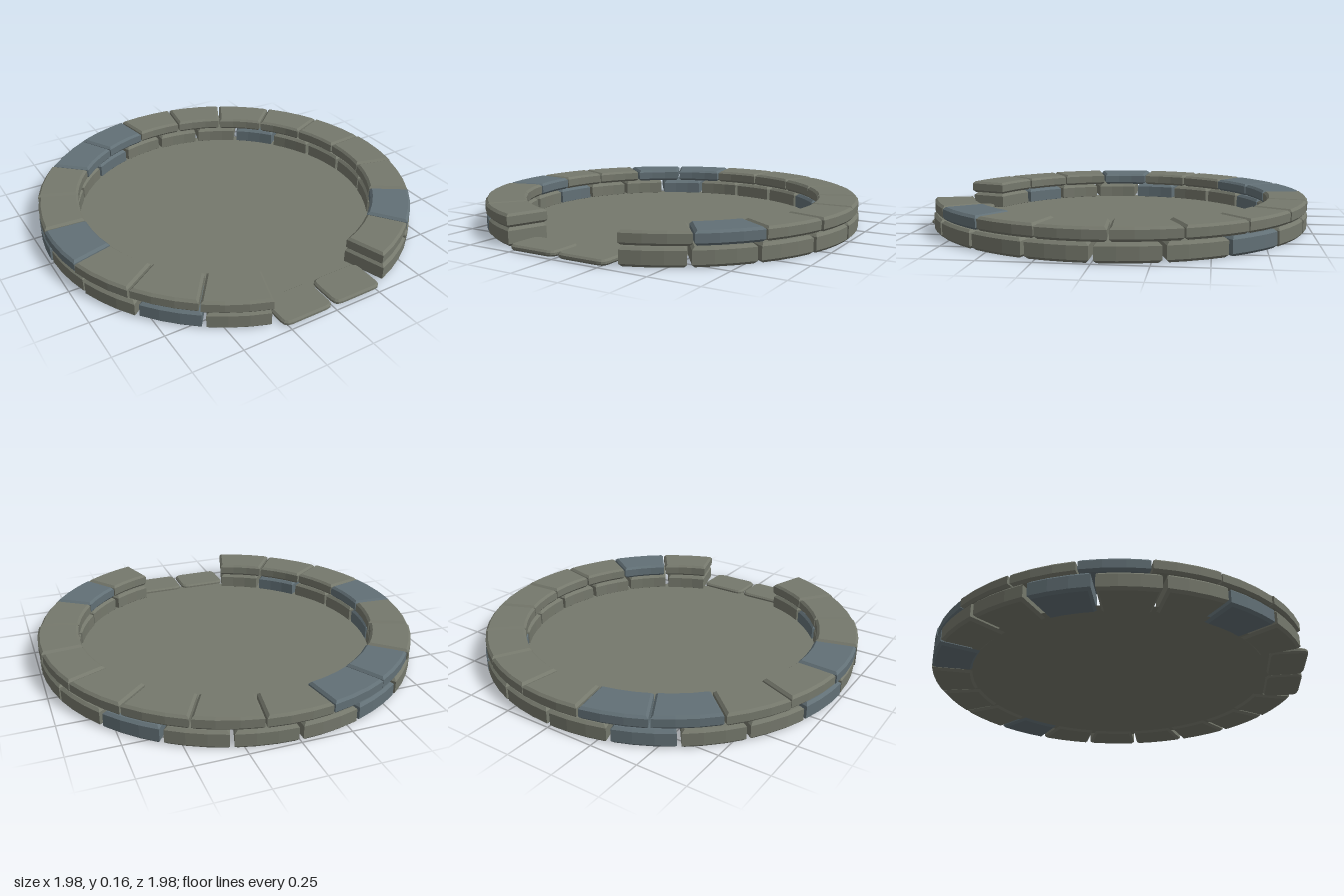
import * as THREE from 'three';

const DEG = Math.PI / 180;

function makeMaterial(name, color) {
  const m = new THREE.MeshStandardMaterial({ color });
  m.name = name;
  return m;
}

// small seeded generator for hand-cut irregularity, returns -1..1
function makeJitter(seed) {
  let s = seed;
  return () => {
    s = (s * 16807) % 2147483647;
    return (s / 2147483647) * 2 - 1;
  };
}

// bevelled block from a plan outline, standing between heights y0 and y1
function slabGeometry(shape, y0, y1, bevel) {
  const geo = new THREE.ExtrudeGeometry(shape, {
    depth: y1 - y0 - 2 * bevel,
    bevelEnabled: true,
    bevelThickness: bevel,
    bevelSize: bevel,
    bevelOffset: -bevel,
    bevelSegments: 1,
    curveSegments: 3,
  });
  geo.rotateX(-Math.PI / 2);
  geo.translate(0, y0 + bevel, 0);
  return geo;
}

// plan outline of one curved stone; angles run from +z towards +x
function wedgeShape(a0, a1, inner, outer, gap) {
  const points = [];
  const arc = (r, reverse) => {
    const trim = gap / 2 / r;
    const steps = 3;
    for (let i = 0; i <= steps; i++) {
      const t = reverse ? 1 - i / steps : i / steps;
      const a = a0 + trim + (a1 - a0 - 2 * trim) * t;
      points.push(new THREE.Vector2(r * Math.sin(a), -r * Math.cos(a)));
    }
  };
  arc(outer, false);
  arc(inner, true);
  return new THREE.Shape(points);
}

function roundedRect(x0, x1, y0, y1, r) {
  const s = new THREE.Shape();
  s.moveTo(x0 + r, y0);
  s.lineTo(x1 - r, y0);
  s.quadraticCurveTo(x1, y0, x1, y0 + r);
  s.lineTo(x1, y1 - r);
  s.quadraticCurveTo(x1, y1, x1 - r, y1);
  s.lineTo(x0 + r, y1);
  s.quadraticCurveTo(x0, y1, x0, y1 - r);
  s.lineTo(x0, y0 + r);
  s.quadraticCurveTo(x0, y0, x0 + r, y0);
  return s;
}

export function createModel() {
  const model = new THREE.Group();
  model.name = 'stoneRing';
  const stone = makeMaterial('greyStone', 0x75786c);
  const blue = makeMaterial('blueStone', 0x627076);
  const jitter = makeJitter(4127);

  // one course of stones, open at the front between -18 and +18 degrees
  function addCourse(name, count, y0, y1, gap, bevel, outer, blueStones) {
    const course = new THREE.Group();
    course.name = name;
    const step = (324 / count) * DEG;
    for (let i = 0; i < count; i++) {
      const a0 = 18 * DEG + i * step;
      const shape = wedgeShape(a0, a0 + step, 0.782 + jitter() * 0.005, outer + jitter() * 0.005, gap);
      const top = y1 + jitter() * 0.0015;
      const mesh = new THREE.Mesh(slabGeometry(shape, y0, top, bevel), blueStones.includes(i) ? blue : stone);
      mesh.name = name + 'Stone' + (i + 1);
      course.add(mesh);
    }
    model.add(course);
  }
  addCourse('lowerCourse', 18, 0, 0.088, 0.02, 0.013, 0.99, [6, 10, 13, 16]);
  addCourse('upperCourse', 17, 0.092, 0.157, 0.009, 0.012, 0.99, [1, 9, 10, 13]);

  // pair of thin entrance slabs at the front
  for (const side of [-1, 1]) {
    const x = side * 0.14;
    const shape = roundedRect(x - 0.134, x + 0.134, -0.983, -0.79, 0.04);
    const slab = new THREE.Mesh(slabGeometry(shape, 0.002, 0.03, 0.009), stone);
    slab.name = side > 0 ? 'entranceSlabLeft' : 'entranceSlabRight';
    model.add(slab);
  }

  // flat floor inside the ring
  const floorMaterial = makeMaterial('floorStone', 0x75786c);
  floorMaterial.side = THREE.DoubleSide;
  const floor = new THREE.Mesh(new THREE.CircleGeometry(0.83, 40), floorMaterial);
  floor.name = 'floor';
  floor.rotation.x = -Math.PI / 2;
  floor.position.y = 0.012;
  model.add(floor);

  return model;
}
